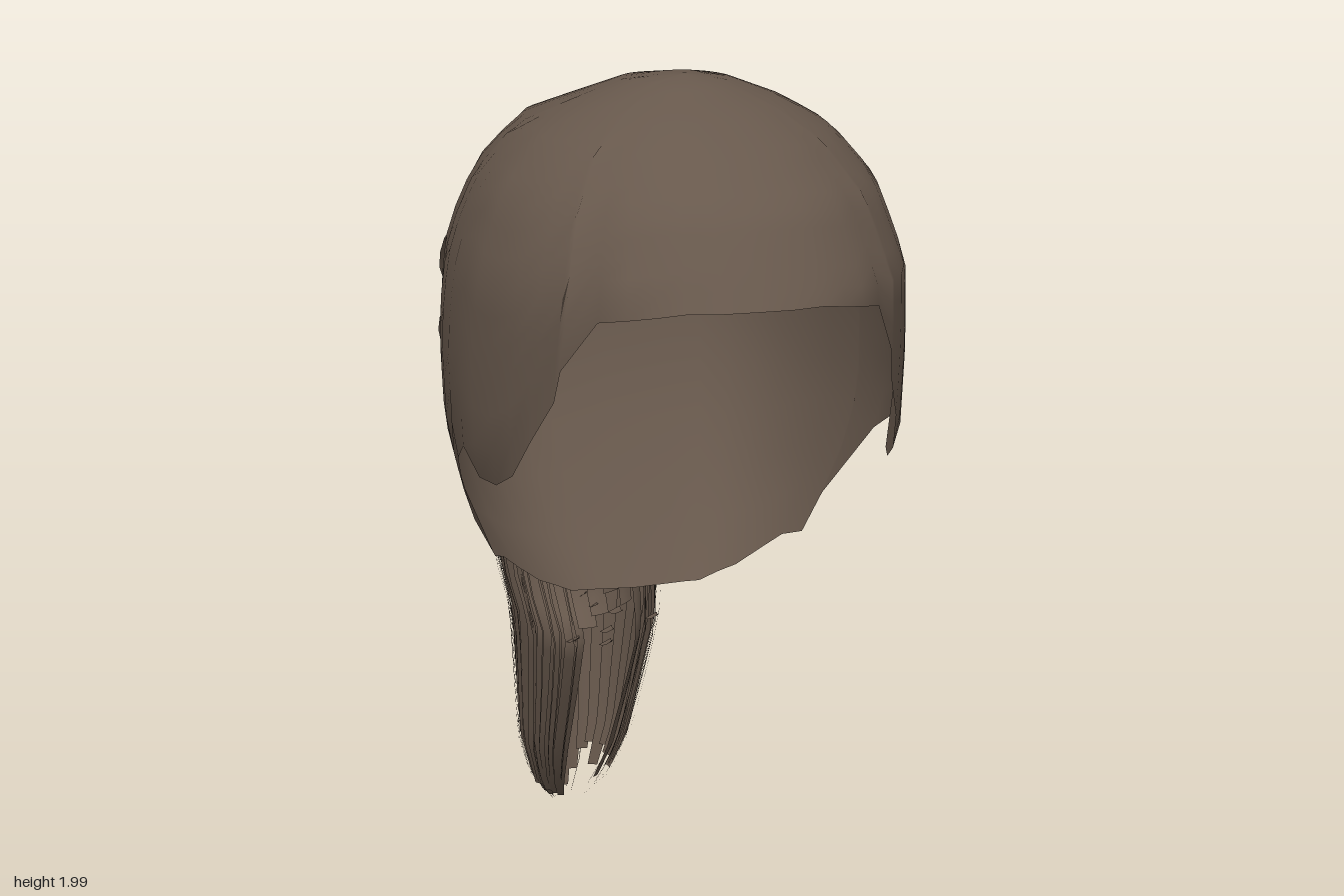
import * as THREE from 'three';
import { mergeGeometries, mergeVertices } from 'three/addons/utils/BufferGeometryUtils.js';

const hair = new THREE.MeshStandardMaterial({ color: 0x67584c, side: THREE.DoubleSide });
hair.name = 'brown hair';

let seed = 7;
const rand = () => (seed = (seed * 16807) % 2147483647) / 2147483647;

// Linear lookup in rows whose first entry falls from row to row
function lookup(rows, y) {
  let i = 0;
  while (i < rows.length - 2 && y < rows[i + 1][0]) i++;
  const a = rows[i], b = rows[i + 1];
  const t = THREE.MathUtils.clamp((a[0] - y) / (a[0] - b[0]), 0, 1);
  return a.map((v, k) => v + (b[k] - v) * t);
}

// Surface from a rule fn(u, v) -> [x, y, z]
function grid(fn, nu, nv) {
  const pos = [], idx = [];
  for (let i = 0; i <= nu; i++)
    for (let j = 0; j <= nv; j++) pos.push(...fn(i / nu, j / nv));
  for (let i = 0; i < nu; i++)
    for (let j = 0; j < nv; j++) {
      const a = i * (nv + 1) + j, b = a + nv + 1;
      idx.push(a, a + 1, b, b, a + 1, b + 1);
    }
  const g = new THREE.BufferGeometry();
  g.setAttribute('position', new THREE.Float32BufferAttribute(pos, 3));
  g.setIndex(idx);
  g.computeVertexNormals();
  return g;
}

// Head ovals: height, back z, front z, half width
const HEAD = [
  [1.993, 0.29, 0.29, 0], [1.98, 0.13, 0.36, 0.1], [1.93, 0, 0.49, 0.23], [1.87, -0.19, 0.6, 0.335],
  [1.77, -0.31, 0.73, 0.42], [1.68, -0.39, 0.79, 0.455], [1.6, -0.43, 0.84, 0.48], [1.5, -0.44, 0.82, 0.49],
  [1.4, -0.43, 0.8, 0.495], [1.22, -0.39, 0.77, 0.49], [1.08, -0.33, 0.65, 0.455], [0.95, -0.26, 0.46, 0.41],
  [0.88, -0.22, 0.41, 0.37], [0.8, -0.17, 0.37, 0.32], [0.73, -0.12, 0.28, 0.25],
];
// Hairline from forehead to nape: z, y
const HEM = [
  [0.84, 1.6], [0.81, 1.597], [0.7, 1.565], [0.62, 1.45], [0.6, 1.38], [0.46, 1.19], [0.38, 1.15], [0.31, 1.15],
  [0.27, 1.21], [0.18, 1.16], [0.09, 1.06], [0.025, 0.97], [0.025, 0.88], [-0.03, 0.86], [-0.08, 0.78],
  [-0.105, 0.74], [-0.12, 0.73],
];

// Point on the head; the rear half is squarer than an oval
function headPoint(angle, y, lift = 0) {
  const [, back, front, w] = lookup(HEAD, y);
  const s = Math.sin(angle), c = Math.cos(angle);
  const across = Math.sign(s) * Math.pow(Math.abs(s), 1 - 0.38 * Math.max(0, -c));
  return [(w + lift) * across, y, (back + front) / 2 + ((front - back) / 2 + lift) * c];
}

function hemAngle(z, y) {
  const [, back, front] = lookup(HEAD, y);
  return Math.acos(THREE.MathUtils.clamp((z - (back + front) / 2) / ((front - back) / 2), -1, 1));
}

function capGeometry() {
  // Hairline columns [angle, y], with extra ones in each gap
  const half = [];
  const ends = HEM.map(([z, y]) => [hemAngle(z, y), y]);
  for (let i = 1; i < ends.length; i++) ends[i][0] = Math.max(ends[i][0], ends[i - 1][0] + 0.01);
  ends[ends.length - 1][0] = Math.PI;
  ends.forEach(([a, y], i) => {
    half.push([a, y]);
    const next = ends[i + 1];
    if (!next) return;
    const n = Math.max(1, Math.round((next[0] - a) / 0.14));
    for (let k = 1; k < n; k++) half.push([a + (next[0] - a) * k / n, y + (next[1] - y) * k / n]);
  });
  const ring = [...half, ...half.slice(0, -1).reverse().map(([a, y]) => [-a, y])];
  const n = ring.length - 1;
  const top = HEAD[0][0];
  const g = grid((u, v) => {
    const [a, y] = ring[Math.round(u * n)];
    return headPoint(a, top - (top - y) * Math.pow(v, 1.8));
  }, n, 18);
  g.deleteAttribute('normal');
  const merged = mergeVertices(g, 1e-4);
  merged.computeVertexNormals();
  return merged;
}

// Flat locks swept toward the tie: start angle, start y, end angle, end y, width
const LOCKS = [
  [2.1, 1.52, 2.95, 1.58, 0.12], [2.1, 1.35, 2.85, 1.46, 0.1], [2.15, 1.22, 2.8, 1.38, 0.09],
];
const lockGeometry = (side) => mergeGeometries(LOCKS.map(([a0, y0, a1, y1, w]) => grid((u, v) => {
  const a = a0 + (a1 - a0) * u + 0.12 * v * (1 - u);
  const y = y0 + (y1 - y0) * u + (0.5 - v) * w * (1 - 0.5 * u);
  return headPoint(side * a, y, 0.003 + 0.015 * (1 - u) * Math.sin(Math.PI * (0.1 + 0.8 * v)));
}, 6, 3)));

// Sleeve joining the cap to the tail: side profile z, y
const SLEEVE = [[-0.35, 1.46], [-0.35, 1.72], [-0.405, 1.667], [-0.46, 1.61], [-0.52, 1.622], [-0.53, 1.46]];
function sleeveGeometry() {
  const shape = new THREE.Shape(SLEEVE.map(([z, y]) => new THREE.Vector2(-z, y)));
  return new THREE.ExtrudeGeometry(shape, { depth: 0.19, bevelEnabled: false })
    .translate(0, 0, -0.095).rotateY(Math.PI / 2);
}

// Ponytail ovals: height, inner z, outer z, half width
const TAIL = [
  [1.627, -0.5, -0.55, 0.07], [1.61, -0.47, -0.585, 0.095], [1.55, -0.48, -0.61, 0.105], [1.45, -0.49, -0.645, 0.11],
  [1.27, -0.48, -0.72, 0.14], [1.15, -0.455, -0.765, 0.165], [1.03, -0.425, -0.8, 0.185], [0.8, -0.375, -0.835, 0.205],
  [0.65, -0.33, -0.83, 0.19], [0.56, -0.25, -0.815, 0.17], [0.4, -0.34, -0.785, 0.155], [0.2, -0.47, -0.745, 0.135],
  [0.06, -0.58, -0.715, 0.09], [0, -0.65, -0.69, 0.03],
];
function tailPoint(angle, y, scale) {
  const [, inner, outer, w] = lookup(TAIL, y);
  const drift = -0.03 * (1 - y / 1.627);
  return [drift + w * scale * Math.sin(angle), y,
    (inner + outer) / 2 + (inner - outer) / 2 * scale * Math.cos(angle)];
}

// Overlapping strips around the tail; those on the underside stop short and leave it open
function tailGeometry() {
  const n = 30, top = TAIL[0][0], strips = [];
  for (let i = 0; i < n; i++) {
    const mid = (i + 0.65) / n * Math.PI * 2;
    let end = rand() * 0.07;
    if (Math.sin(mid) > 0.35) end += 0.07;
    if (Math.cos(mid) > 0.89) end = 0.52 + rand() * 0.14;
    const out = 0.97 + rand() * 0.03;
    strips.push(grid((u, v) => tailPoint((i + u * 1.3) / n * Math.PI * 2,
      top + (end - top) * v, out - 0.09 * u), 3, 28));
  }
  return mergeGeometries(strips);
}

// Fine loose strands just outside the tail
function strandGeometry() {
  const strands = [];
  for (let i = 0; i < 44; i++) {
    const a = 0.5 + rand() * (Math.PI * 2 - 1);
    const start = 0.9 + rand() * 0.5, end = rand() * 0.15, out = 1 + rand() * 0.05;
    strands.push(grid((u, v) => tailPoint(a + (u - 0.5) * 0.045 * (1 - v * 0.7) + 0.1 * v,
      start + (end - start) * v, 0.97 + (out - 0.97) * Math.min(1, v * 3)), 1, 14));
  }
  return mergeGeometries(strands);
}

// Short tips flicking forward from the underside of the tail
function tipGeometry() {
  const tips = [];
  for (let i = 0; i < 7; i++) {
    const y = 0.64 - 0.018 * i, x = (rand() - 0.5) * 0.2, len = 0.07 + rand() * 0.05;
    const z = lookup(TAIL, y)[1] - 0.06;
    tips.push(grid((u, v) => [x + (u - 0.5) * 0.03 * (1 - v), y + 0.03 * v * v + (u - 0.5) * 0.014 * (1 - v),
      z + len * v], 1, 4));
  }
  return mergeGeometries(tips);
}

export function createModel() {
  const model = new THREE.Group();
  model.name = 'ponytailHair';
  const add = (name, geometry) => {
    const mesh = new THREE.Mesh(geometry, hair);
    mesh.name = name;
    model.add(mesh);
  };

  add('hairCap', capGeometry());
  add('leftLocks', lockGeometry(1));
  add('rightLocks', lockGeometry(-1));
  add('tieSleeve', sleeveGeometry());
  add('ponytail', tailGeometry());
  add('looseStrands', strandGeometry());
  add('tailTips', tipGeometry());
  return model;
}
